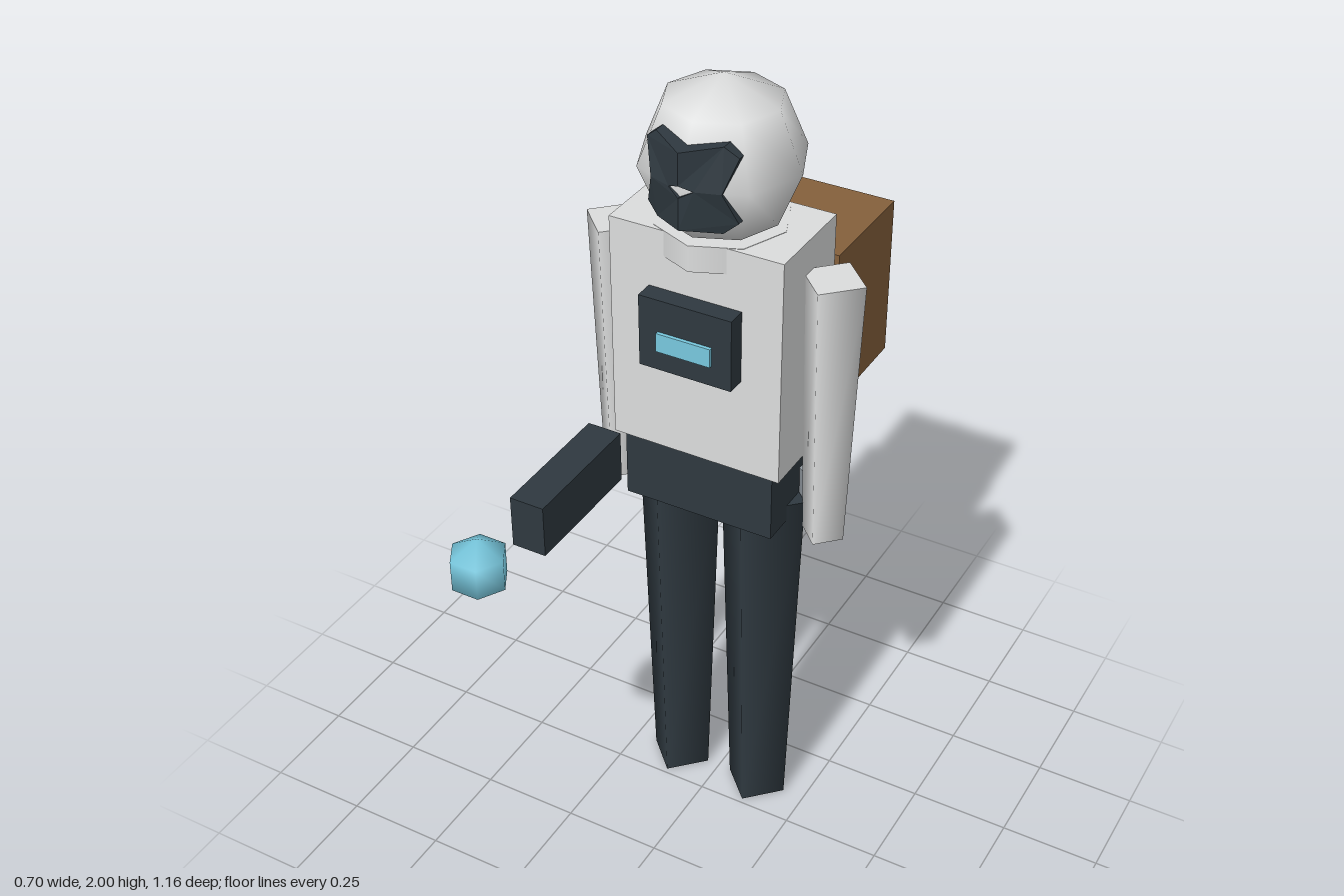
import * as THREE from 'three';

export function createModel() {
  const model = new THREE.Group();
  const mat = (name, color) => {
    const m = new THREE.MeshStandardMaterial({ color });
    m.name = name;
    return m;
  };
  const white = mat('white shell', 0xdcdddd);
  const dark = mat('dark suit', 0x2f3940);
  const cyan = mat('cyan glow', 0x78c8de);
  const brown = mat('brown pack', 0x85603c);
  const grey = mat('grey metal', 0x949ca3);

  const add = (name, geometry, material, x, y, z) => {
    const mesh = new THREE.Mesh(geometry, material);
    mesh.name = name;
    mesh.position.set(x, y, z);
    model.add(mesh);
    return mesh;
  };
  const box = (name, material, [w, h, d], [x, y, z]) =>
    add(name, new THREE.BoxGeometry(w, h, d), material, x, y, z);
  const tube = (name, material, rTop, rBottom, y0, y1, sides, x, z) =>
    add(name, new THREE.CylinderGeometry(rTop, rBottom, y1 - y0, sides), material, x, (y0 + y1) / 2, z);

  const bodyZ = -0.093;

  // Head and collar
  add('head', new THREE.SphereGeometry(0.191, 8, 4), white, 0, 1.809, bodyZ);
  tube('collar', white, 0.156, 0.156, 1.6, 1.664, 8, 0, bodyZ);

  // Visor: each half is a notched plate swept back around the face
  const half = [
    [0, 0.09], [0.08, 0.101], [0.11, 0.076], [0.085, 0], [0.11, -0.076], [0.08, -0.101],
    [0, -0.09], [0, -0.014], [0.03, 0.002], [0, 0.014],
  ];
  for (const side of [-1, 1]) {
    const shape = new THREE.Shape(half.map(([x, y]) => new THREE.Vector2(side * x, y)));
    const geometry = new THREE.ExtrudeGeometry(shape, { depth: 0.06, bevelEnabled: false });
    const p = geometry.attributes.position;
    for (let i = 0; i < p.count; i++) {
      const x = Math.abs(p.getX(i)), y = Math.abs(p.getY(i));
      p.setZ(i, p.getZ(i) - 0.06 - 0.4 * x - 2.4 * x * y);
    }
    geometry.computeVertexNormals();
    add(side < 0 ? 'visorRight' : 'visorLeft', geometry, dark, 0, 1.81, 0.102);
  }

  // Torso, hips and chest panel
  box('torso', white, [0.43, 0.57, 0.248], [0, 1.378, bodyZ]);
  box('hips', dark, [0.385, 0.176, 0.224], [0, 1.004, bodyZ]);
  box('chestPanel', dark, [0.232, 0.18, 0.07], [0, 1.427, 0.043]);
  box('chestLight', cyan, [0.136, 0.047, 0.009], [0, 1.413, 0.0825]);

  // Backpack
  box('backpack', brown, [0.386, 0.41, 0.292], [0, 1.31, -0.435]);

  // Limbs and hip canisters
  for (const side of [-1, 1]) {
    const suffix = side < 0 ? 'Right' : 'Left';
    tube('arm' + suffix, white, 0.078, 0.053, 0.89, 1.582, 4, side * 0.273, bodyZ);
    tube('leg' + suffix, dark, 0.111, 0.08, 0, 0.96, 4, side * 0.113, bodyZ);
    tube('hipCanister' + suffix, grey, 0.048, 0.042, 0.868, 1.03, 6, side * 0.228, -0.15);
  }

  // Hand tool and the orb floating in front of it
  box('handTool', dark, [0.088, 0.135, 0.34], [-0.274, 0.982, 0.155]);
  add('orb', new THREE.SphereGeometry(0.078, 6, 3), cyan, -0.274, 1.004, 0.52);

  return model;
}
